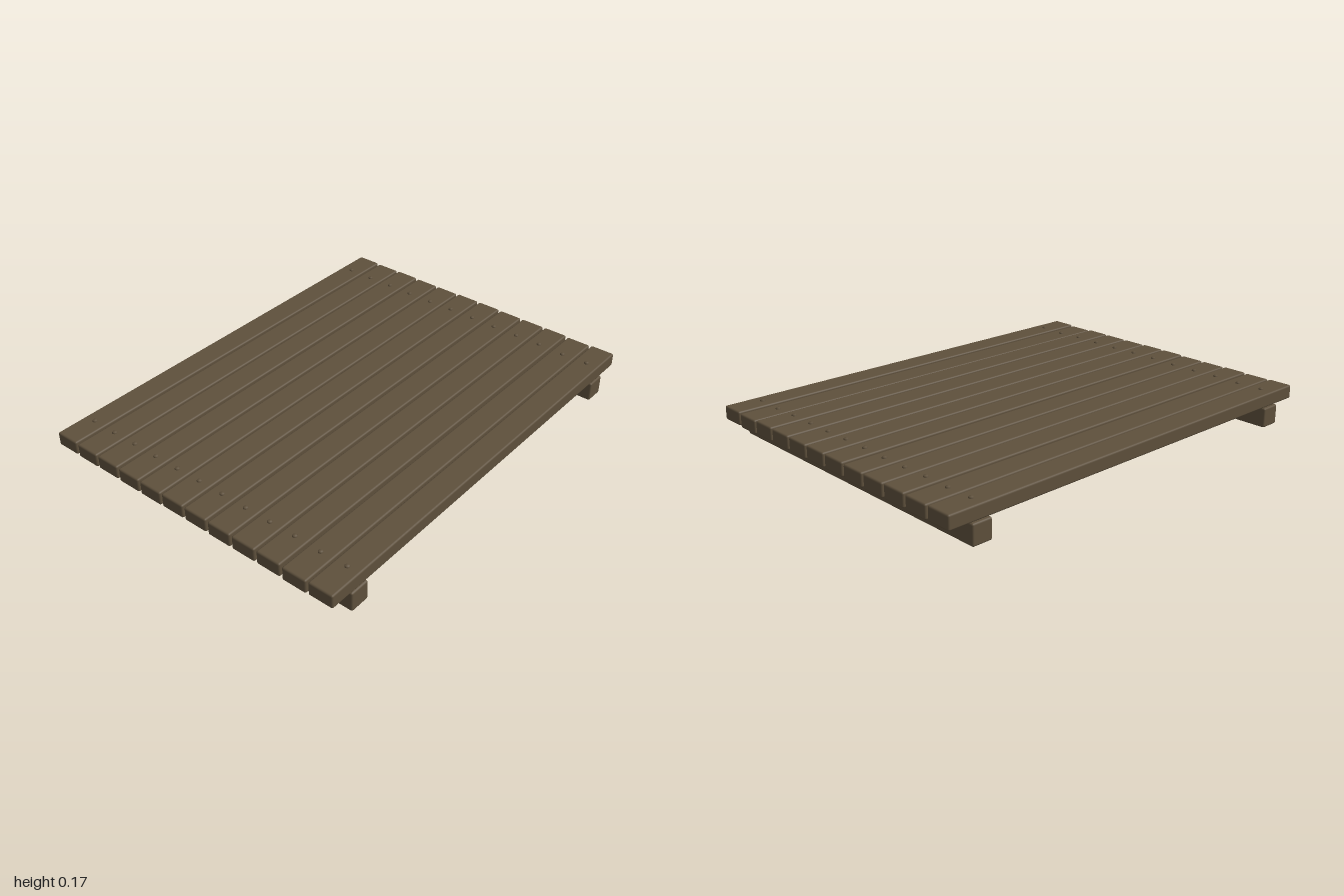
import * as THREE from 'three';
import { RoundedBoxGeometry } from 'three/addons/geometries/RoundedBoxGeometry.js';

export function createModel() {
  const group = new THREE.Group();
  const wood = new THREE.MeshStandardMaterial({ color: 0x5e503c });
  wood.name = 'weatheredBrown';

  const add = (name, geometry, x, y, z) => {
    const mesh = new THREE.Mesh(geometry, wood);
    mesh.name = name;
    mesh.position.set(x, y, z);
    group.add(mesh);
  };

  // Two bearers running front to back under the deck
  const bearer = new RoundedBoxGeometry(0.092, 0.09, 1.494, 2, 0.008);
  for (const side of [-1, 1]) {
    add(side > 0 ? 'leftBearer' : 'rightBearer', bearer, side * 0.85, 0.045, 0);
  }

  // Twelve slats, each at a slightly different height, front to back
  const plank = new RoundedBoxGeometry(2, 0.062, 0.114, 2, 0.008);
  const lifts = [0.003, -0.001, 0.003, 0.002, 0.002, 0.004, 0.004, 0.001, 0.001, 0.003, 0.001, 0.003];

  // Shallow domed bolt head
  const head = new THREE.LatheGeometry([
    new THREE.Vector2(0.011, -0.004),
    new THREE.Vector2(0.011, 0.003),
    new THREE.Vector2(0.008, 0.007),
    new THREE.Vector2(0, 0.008),
  ], 12);

  lifts.forEach((lift, i) => {
    const z = 0.687 - i * 0.1249;
    const y = 0.122 + lift;
    add(`plank${i + 1}`, plank, 0, y, z);
    for (const side of [-1, 1]) add('boltHead', head, side * 0.85, y + 0.031, z);
  });
  return group;
}
